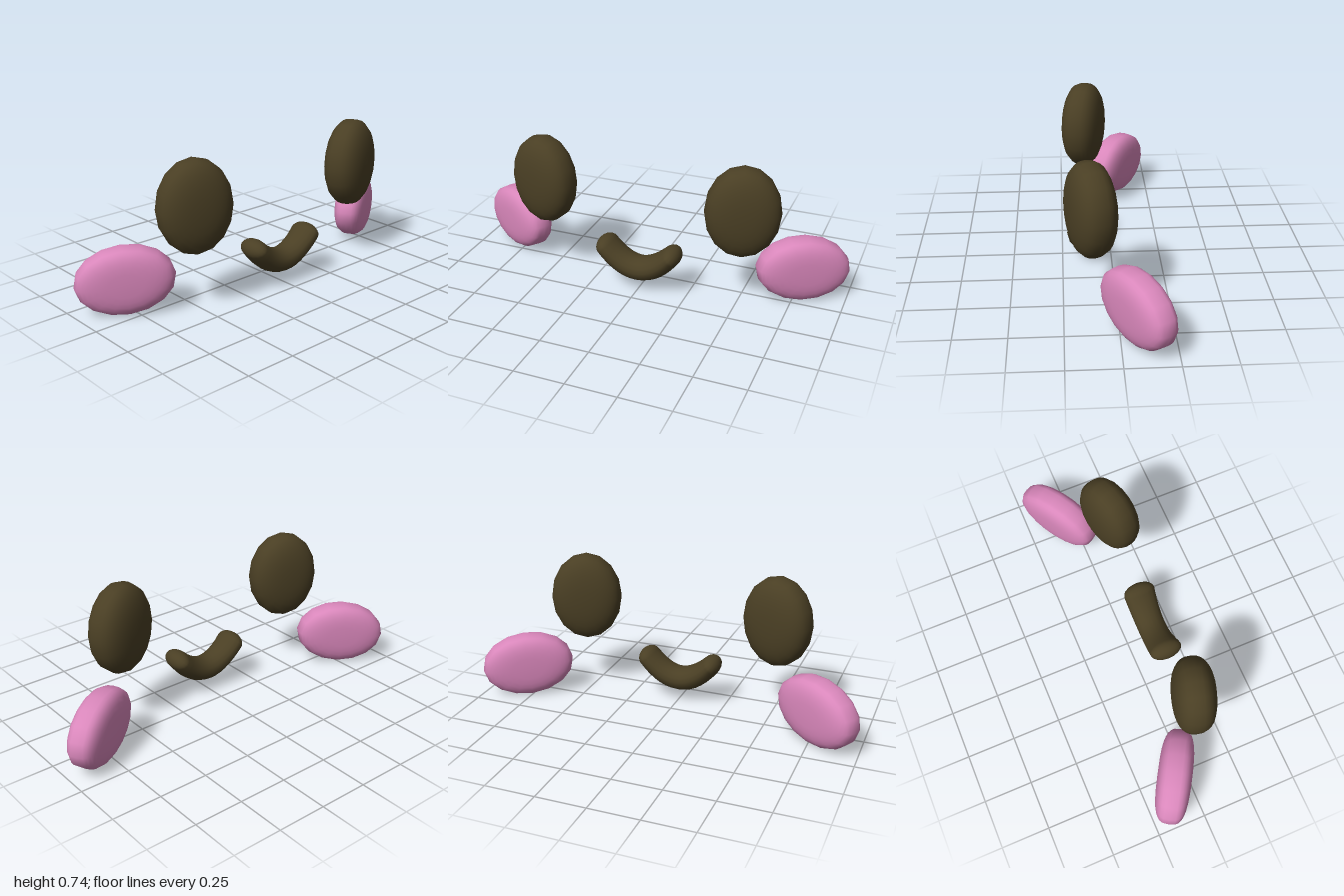
import * as THREE from 'three';
import { mergeVertices } from 'three/addons/utils/BufferGeometryUtils.js';

const dark = new THREE.MeshStandardMaterial({ color: 0x4a3f24 });
const pink = new THREE.MeshStandardMaterial({ color: 0xd987bb });

// Moves every vertex by a rule, then welds seams so the shading stays smooth
function reshape(geometry, rule) {
  const p = geometry.attributes.position;
  const v = new THREE.Vector3();
  for (let i = 0; i < p.count; i++) {
    rule(v.fromBufferAttribute(p, i));
    p.setXYZ(i, v.x, v.y, v.z);
  }
  geometry.deleteAttribute('uv');
  geometry.deleteAttribute('normal');
  const welded = mergeVertices(geometry, 1e-4);
  welded.computeVertexNormals();
  return welded;
}

// Oval cushion: elliptical outline, superelliptic edge of power n
function cushion(a, b, c, n) {
  const g = new THREE.SphereGeometry(1, 16, 16).rotateX(Math.PI / 2);
  return reshape(g, (v) => {
    const r = Math.hypot(v.x, v.y);
    const k = r > 1e-5 ? Math.pow(r, 2 / n) / r : 0;
    v.set(v.x * k * a, v.y * k * b, Math.sign(v.z) * Math.pow(Math.abs(v.z), 2 / n) * c);
  });
}

// Capsule bent along a parabola, deeper than it is thick
function smile() {
  const half = 0.2, reach = 0.172, rise = 3.35, radius = 0.05;
  const g = new THREE.CapsuleGeometry(radius, half * 2, 6, 16, 14).rotateZ(Math.PI / 2);
  return reshape(g, (v) => {
    const s = THREE.MathUtils.clamp(v.x, -half, half);
    const over = v.x - s;
    const t = s / half;
    const x = t * reach;
    const tangent = new THREE.Vector2(1, 2 * rise * x).normalize();
    const thick = v.y * (1.24 - 0.24 * t * t);
    const depth = v.z * (1.5 + 0.2 * t * t);
    v.set(
      x + tangent.x * over - tangent.y * thick,
      0.118 + rise * x * x + tangent.y * over + tangent.x * thick,
      depth
    );
  });
}

export function createModel() {
  const group = new THREE.Group();
  const eye = cushion(0.183, 0.23, 0.105, 2.5);
  const cheek = cushion(0.237, 0.166, 0.086, 3.1);

  for (const side of [1, -1]) {
    const name = side > 0 ? 'left' : 'right';

    // Eyes, turned a little outwards
    const e = new THREE.Mesh(eye, dark);
    e.name = name + 'Eye';
    e.position.set(side * 0.518, 0.516, 0.12);
    e.rotation.y = side * 0.3;
    group.add(e);

    // Cheeks, swept back with the outer end slightly lower
    const c = new THREE.Mesh(cheek, pink);
    c.name = name + 'Cheek';
    c.position.set(side * 0.782, 0.167, -0.077);
    c.rotation.set(0, side * 0.54, side * -0.09);
    group.add(c);
  }

  // Mouth
  const mouth = new THREE.Mesh(smile(), dark);
  mouth.name = 'mouth';
  mouth.position.z = 0.14;
  group.add(mouth);

  return group;
}
